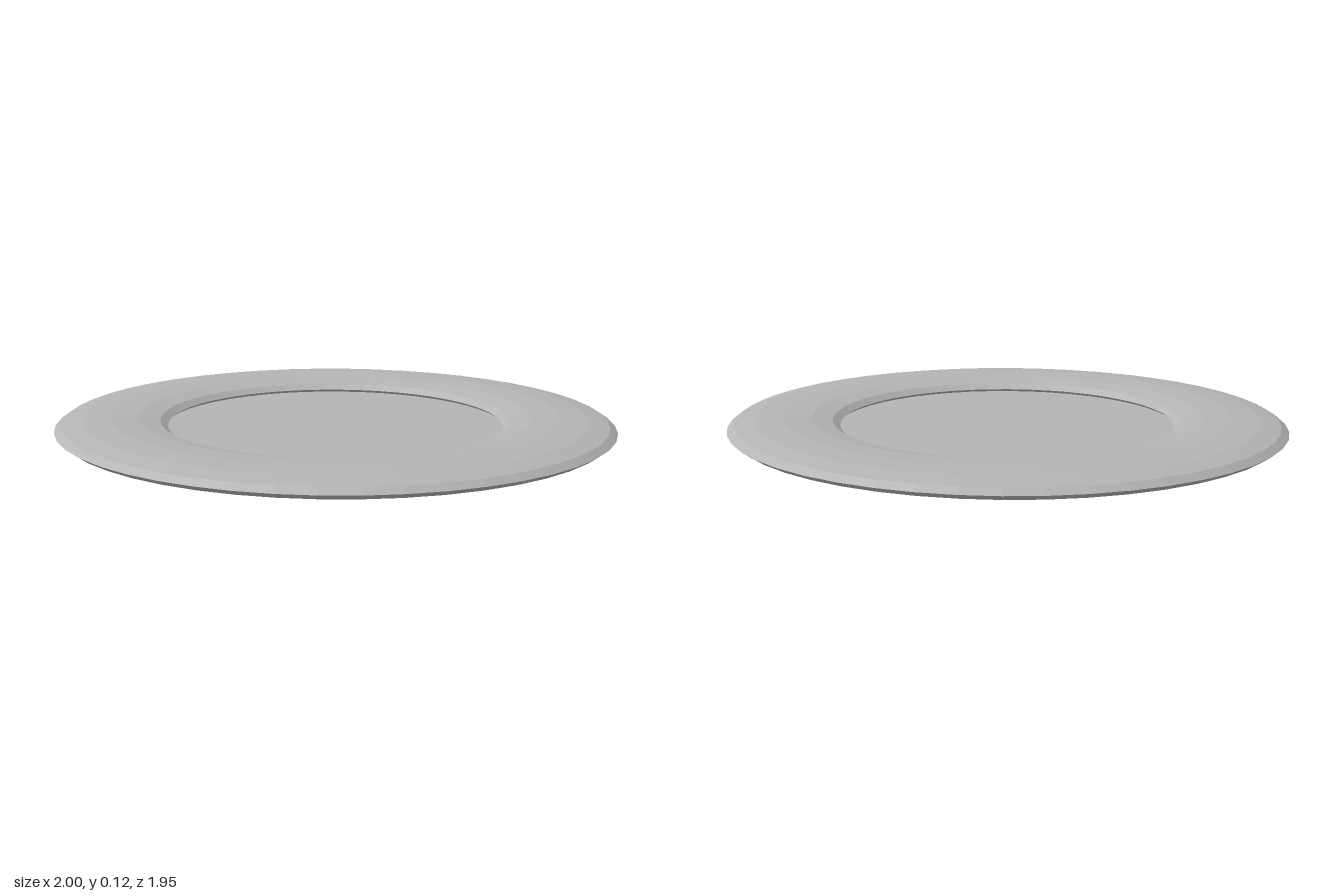
import * as THREE from 'three';

export function createModel() {
  const group = new THREE.Group();
  group.name = 'plate';

  const lightGrey = new THREE.MeshStandardMaterial({ color: 0xb4b4b4, flatShading: true });
  lightGrey.name = 'light grey';
  const darkGrey = new THREE.MeshStandardMaterial({ color: 0x83817f, flatShading: true });
  darkGrey.name = 'dark grey';

  const depthScale = 0.973; // slightly oval from front to back

  // Wide rim: a flattened ring
  const rimGeometry = new THREE.TorusGeometry(0.8, 0.2, 12, 48);
  rimGeometry.rotateX(-Math.PI / 2);
  rimGeometry.scale(1, 0.1875, depthScale);
  const rim = new THREE.Mesh(rimGeometry, lightGrey);
  rim.name = 'rim';
  rim.position.y = 0.0875;
  group.add(rim);

  // Base disc: foot below the rim and floor inside it, with a darker underside
  const height = 0.077;
  const baseGeometry = new THREE.CylinderGeometry(0.667, 0.667, height, 32);
  baseGeometry.scale(1, 1, depthScale);
  const base = new THREE.Mesh(baseGeometry, [lightGrey, lightGrey, darkGrey]);
  base.name = 'base';
  base.position.y = height / 2;
  group.add(base);

  return group;
}
